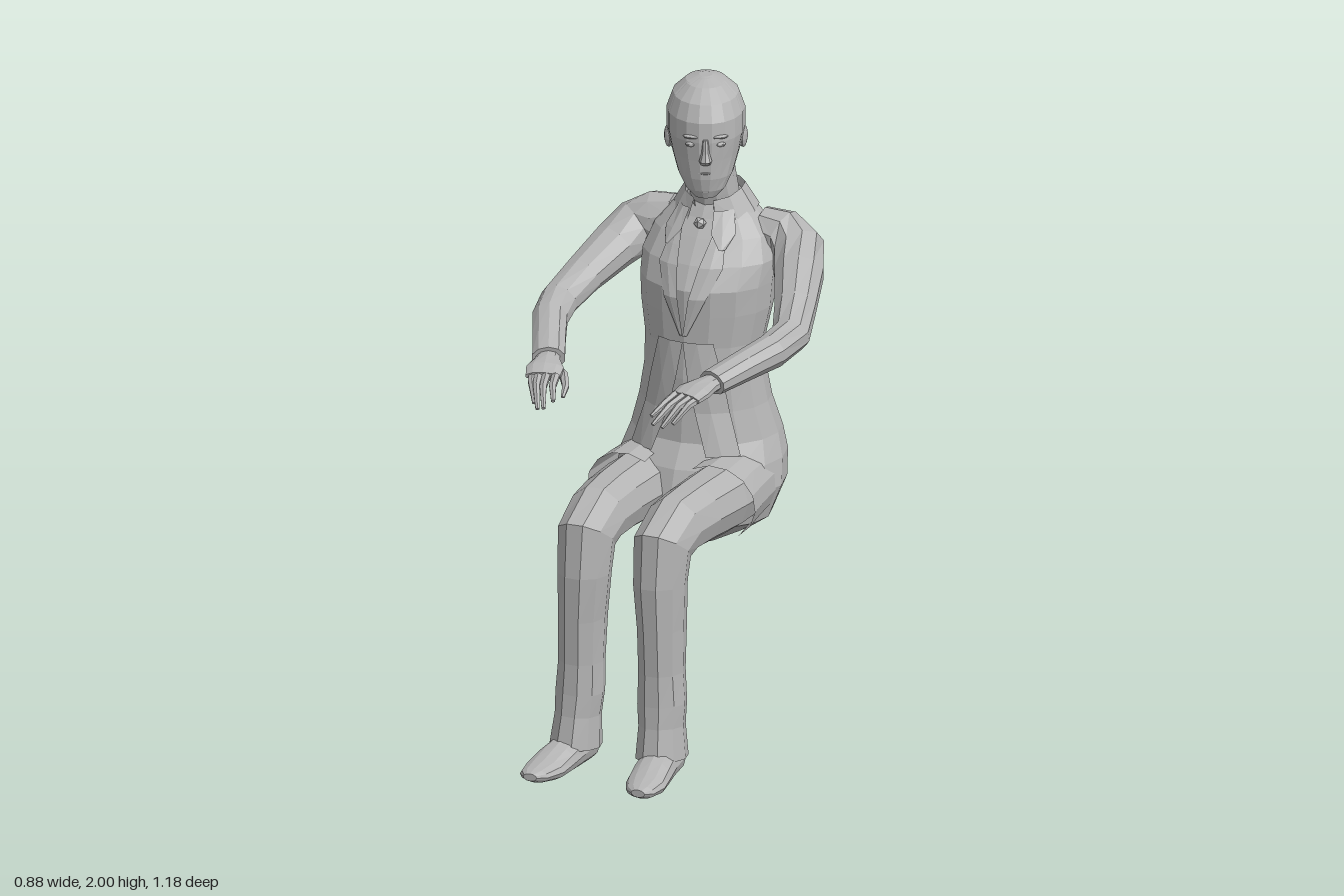
import * as THREE from 'three';

const V = (x, y, z) => new THREE.Vector3(x, y, z);

export function createModel() {
  const model = new THREE.Group();
  const grey = new THREE.MeshStandardMaterial({ color: 0xb4b4b4, side: THREE.DoubleSide });
  grey.name = 'grey';

  const add = (parent, name, geometry) => {
    const flat = geometry.index ? geometry.toNonIndexed() : geometry;
    flat.computeVertexNormals();
    const mesh = new THREE.Mesh(flat, grey);
    mesh.name = name;
    parent.add(mesh);
    return mesh;
  };

  // Faceted skin over rows of points; closed rows get end caps
  function skin(rows, closed = false) {
    const pos = [];
    const tri = (...pts) => pts.forEach(p => pos.push(p.x, p.y, p.z));
    const n = rows[0].length;
    for (let i = 0; i < rows.length - 1; i++) {
      for (let j = 0; j < (closed ? n : n - 1); j++) {
        const k = (j + 1) % n, a = rows[i], b = rows[i + 1];
        tri(a[j], a[k], b[k]);
        tri(a[j], b[k], b[j]);
      }
    }
    if (closed) {
      [rows[0], rows[rows.length - 1]].forEach((row, end) => {
        const c = V(0, 0, 0);
        row.forEach(p => c.addScaledVector(p, 1 / n));
        row.forEach((p, j) => {
          const q = row[(j + 1) % n];
          if (end) tri(c, p, q); else tri(c, q, p);
        });
      });
    }
    const g = new THREE.BufferGeometry();
    g.setAttribute('position', new THREE.Float32BufferAttribute(pos, 3));
    return g;
  }

  // Elliptical rings [x, y, z, a, b] along a path; a lies along ref
  function loft(rings, sides, ref, dir) {
    const c = rings.map(r => V(r[0], r[1], r[2]));
    return skin(rings.map((r, i) => {
      const t = dir ? dir.clone()
        : c[Math.min(i + 1, c.length - 1)].clone().sub(c[Math.max(i - 1, 0)]).normalize();
      const u = ref.clone().addScaledVector(t, -ref.dot(t)).normalize();
      const v = t.clone().cross(u);
      return Array.from({ length: sides }, (_, j) => {
        const a = j / sides * Math.PI * 2;
        return c[i].clone().addScaledVector(u, r[3] * Math.cos(a)).addScaledVector(v, r[4] * Math.sin(a));
      });
    }), true);
  }
  const X = V(1, 0, 0), Y = V(0, 1, 0), Z = V(0, 0, 1);

  // Jacket body: [y, centre z, half width, half depth]
  const body = [
    [0.545, -0.29, 0.05, 0.03], [0.60, -0.30, 0.16, 0.11], [0.65, -0.28, 0.23, 0.19],
    [0.75, -0.30, 0.265, 0.235], [0.83, -0.325, 0.257, 0.23], [0.90, -0.345, 0.235, 0.20],
    [1.0, -0.335, 0.205, 0.18], [1.1, -0.33, 0.187, 0.17], [1.2, -0.335, 0.187, 0.165],
    [1.3, -0.35, 0.205, 0.18], [1.38, -0.355, 0.21, 0.185], [1.45, -0.375, 0.215, 0.165],
    [1.52, -0.40, 0.19, 0.135], [1.57, -0.415, 0.145, 0.11], [1.61, -0.415, 0.10, 0.085],
    [1.63, -0.415, 0.08, 0.07]];
  add(model, 'jacketBody', loft(body.map(([y, z, w, d]) => [0, y, z, w, d]), 16, X, Y));

  // Point lying just in front of the jacket
  function onFront(x, y, lift) {
    let i = 0;
    while (i < body.length - 2 && body[i + 1][0] < y) i++;
    const f = (y - body[i][0]) / (body[i + 1][0] - body[i][0]);
    const [z, w, d] = [1, 2, 3].map(k => THREE.MathUtils.lerp(body[i][k], body[i + 1][k], f));
    return V(x, y, z + d * Math.sqrt(Math.max(0, 1 - (x / w) ** 2)) + lift);
  }
  // Strip on the jacket front: [y, inner x, outer x]
  const strip = (s, rows, lift) => skin(rows.map(([y, a, b]) =>
    [onFront(s * a, y, lift), onFront(s * (a + b) / 2, y, lift), onFront(s * b, y, lift * 0.6)]));

  // Neck and standing collar, open at the throat
  add(model, 'neck', loft([[0, 1.55, -0.42, 0.08, 0.08], [0, 1.64, -0.4, 0.073, 0.08],
    [-0.01, 1.76, -0.375, 0.072, 0.085]], 12, X, Y));
  const collarRow = (y, w, d, z) => Array.from({ length: 11 }, (_, j) => {
    const a = 0.35 + j / 10 * (Math.PI * 2 - 0.7);
    return V(w * Math.sin(a), y - 0.03 * Math.max(0, Math.cos(a)), z + d * Math.cos(a));
  });
  add(model, 'collarBand', skin([collarRow(1.61, 0.085, 0.085, -0.41),
    collarRow(1.655, 0.092, 0.092, -0.405), collarRow(1.585, 0.135, 0.118, -0.413)]));
  add(model, 'shirtKnot', new THREE.IcosahedronGeometry(0.02, 0)).position.set(0, 1.56, -0.29);

  // Head, turned a little to its left
  const head = new THREE.Group();
  head.name = 'head';
  head.position.set(-0.015, 0, -0.37);
  head.rotation.y = 0.4;
  model.add(head);
  const skull = [[1.655, 0.035, 0.085, 0.035], [1.68, 0.062, 0.068, 0.062], [1.72, 0.085, 0.035, 0.103],
    [1.78, 0.104, 0.0, 0.14], [1.84, 0.116, -0.005, 0.147], [1.90, 0.116, -0.01, 0.146],
    [1.95, 0.098, -0.015, 0.122], [1.985, 0.06, -0.02, 0.074], [1.998, 0.02, -0.022, 0.025]];
  add(head, 'face', loft(skull.map(([y, w, z, d]) => [0, y, z, w, d]), 18, X, Y));
  add(head, 'hair', loft(skull.slice(3).map(([y, w, z, d]) => [0, y + 0.002, z - 0.014, w * 1.03, d]), 18, X, Y));
  add(head, 'nose', loft([[0, 1.77, 0.14, 0.014, 0.008], [0, 1.785, 0.146, 0.02, 0.024],
    [0, 1.81, 0.141, 0.012, 0.018], [0, 1.85, 0.136, 0.009, 0.01]], 8, X, Y));
  const blob = (name, x, y, z, a, b, c) => {
    const m = add(head, name, new THREE.SphereGeometry(1, 10, 7).scale(a, b, c));
    m.position.set(x, y, z);
    return m;
  };
  blob('upperLip', 0, 1.741, 0.128, 0.028, 0.006, 0.012);
  blob('lowerLip', 0, 1.73, 0.124, 0.023, 0.007, 0.013);
  blob('chin', 0, 1.682, 0.11, 0.026, 0.022, 0.02);
  for (const s of [-1, 1]) {
    blob('eye', s * 0.044, 1.832, 0.124, 0.018, 0.008, 0.012);
    blob('brow', s * 0.045, 1.856, 0.126, 0.026, 0.006, 0.012).rotation.y = s * 0.35;
    blob('ear', s * 0.113, 1.805, -0.025, 0.013, 0.037, 0.023).rotation.y = -s * 0.3;
  }

  // Hair bun of overlapping coils
  blob('bunBase', 0, 1.76, -0.155, 0.088, 0.07, 0.022);
  blob('bunCore', 0, 1.76, -0.19, 0.04, 0.04, 0.045);
  const coil = add(head, 'bunCoil', new THREE.TorusGeometry(0.045, 0.022, 6, 12));
  coil.position.set(0, 1.76, -0.185);
  coil.rotation.x = 0.12;

  for (const s of [-1, 1]) {
    const side = new THREE.Group();
    side.name = s > 0 ? 'leftSide' : 'rightSide';
    model.add(side);
    const limb = (name, rings, sides, ref, dir) =>
      add(side, name, loft(rings.map(([x, ...rest]) => [s * x, ...rest]), sides, ref, dir));

    // Lapel, collar wing and cutaway front edge
    add(side, 'lapel', strip(s, [[1.24, 0, 0.012], [1.36, 0.018, 0.07], [1.45, 0.035, 0.105],
      [1.5, 0.045, 0.095], [1.58, 0.06, 0.1]], 0.014));
    add(side, 'collarWing', strip(s, [[1.5, 0.085, 0.1], [1.54, 0.05, 0.115], [1.6, 0.04, 0.09]], 0.026));
    add(side, 'jacketFrontEdge', strip(s, [[0.87, 0.09, 0.18], [1.0, 0.045, 0.14], [1.1, 0.02, 0.12],
      [1.22, 0, 0.09]], 0.012));

    // Jacket skirt lying over the thigh
    const skirt = (z, w, h, drop) => Array.from({ length: 8 }, (_, j) => {
      const a = 2.1 - j / 7 * 3.1;
      return V(s * (0.145 + w * Math.cos(a)), 0.757 + h * Math.sin(a) - drop, z - 0.03 * (j / 7));
    });
    add(side, 'jacketSkirt', skin([skirt(-0.3, 0.11, 0.11, 0), skirt(-0.15, 0.122, 0.118, 0),
      skirt(-0.05, 0.132, 0.122, 0.003)]));

    // Sleeve
    limb('sleeve', [[0.13, 1.515, -0.44, 0.07, 0.07], [0.2, 1.495, -0.445, 0.088, 0.085],
      [0.265, 1.465, -0.425, 0.085, 0.085], [0.305, 1.425, -0.34, 0.073, 0.078],
      [0.35, 1.37, -0.21, 0.06, 0.066], [0.382, 1.32, -0.1, 0.056, 0.06],
      [0.365, 1.302, 0.01, 0.053, 0.056], [0.32, 1.285, 0.12, 0.046, 0.053],
      [0.27, 1.265, 0.24, 0.038, 0.052]], 10, Y);

    // Hand
    limb('palm', [[0.275, 1.265, 0.22, 0.026, 0.034], [0.262, 1.265, 0.27, 0.025, 0.042],
      [0.247, 1.262, 0.32, 0.022, 0.06], [0.235, 1.252, 0.365, 0.016, 0.055]], 10, Y);
    [[0.278, 0.345, 0.228, 1.195, 0.445], [0.252, 0.357, 0.205, 1.19, 0.475],
      [0.225, 0.362, 0.18, 1.2, 0.487], [0.198, 0.352, 0.162, 1.215, 0.455]]
      .forEach(([x, z, tx, ty, tz]) => limb('finger', [[x, 1.255, z, 0.014, 0.014],
        [(x + tx) / 2 + 0.006, 1.243, (z + tz) / 2, 0.012, 0.012],
        [tx, ty, tz, 0.006, 0.007]], 6, Y));
    limb('thumb', [[0.24, 1.255, 0.275, 0.018, 0.018], [0.19, 1.245, 0.31, 0.015, 0.015],
      [0.168, 1.225, 0.345, 0.012, 0.012], [0.165, 1.2, 0.375, 0.006, 0.006]], 6, Y);

    // Trouser leg, bent at the knee
    limb('trouserLeg', [[0.125, 0.73, -0.35, 0.11, 0.1], [0.135, 0.752, -0.1, 0.107, 0.106],
      [0.132, 0.765, 0.08, 0.1, 0.1], [0.127, 0.765, 0.2, 0.092, 0.1], [0.125, 0.73, 0.285, 0.086, 0.118],
      [0.125, 0.62, 0.3, 0.08, 0.1], [0.13, 0.48, 0.3, 0.072, 0.095], [0.132, 0.34, 0.305, 0.07, 0.085],
      [0.135, 0.24, 0.31, 0.075, 0.085], [0.138, 0.17, 0.318, 0.07, 0.085],
      [0.142, 0.07, 0.328, 0.078, 0.098]], 10, X);

    // Shoe
    limb('shoe', [[0.14, 0.055, 0.235, 0.04, 0.04], [0.142, 0.055, 0.27, 0.054, 0.055],
      [0.15, 0.058, 0.37, 0.06, 0.055], [0.158, 0.052, 0.44, 0.064, 0.046],
      [0.167, 0.043, 0.51, 0.064, 0.033], [0.175, 0.043, 0.57, 0.047, 0.022],
      [0.178, 0.045, 0.595, 0.022, 0.012]], 12, X, Z);
  }
  return model;
}
